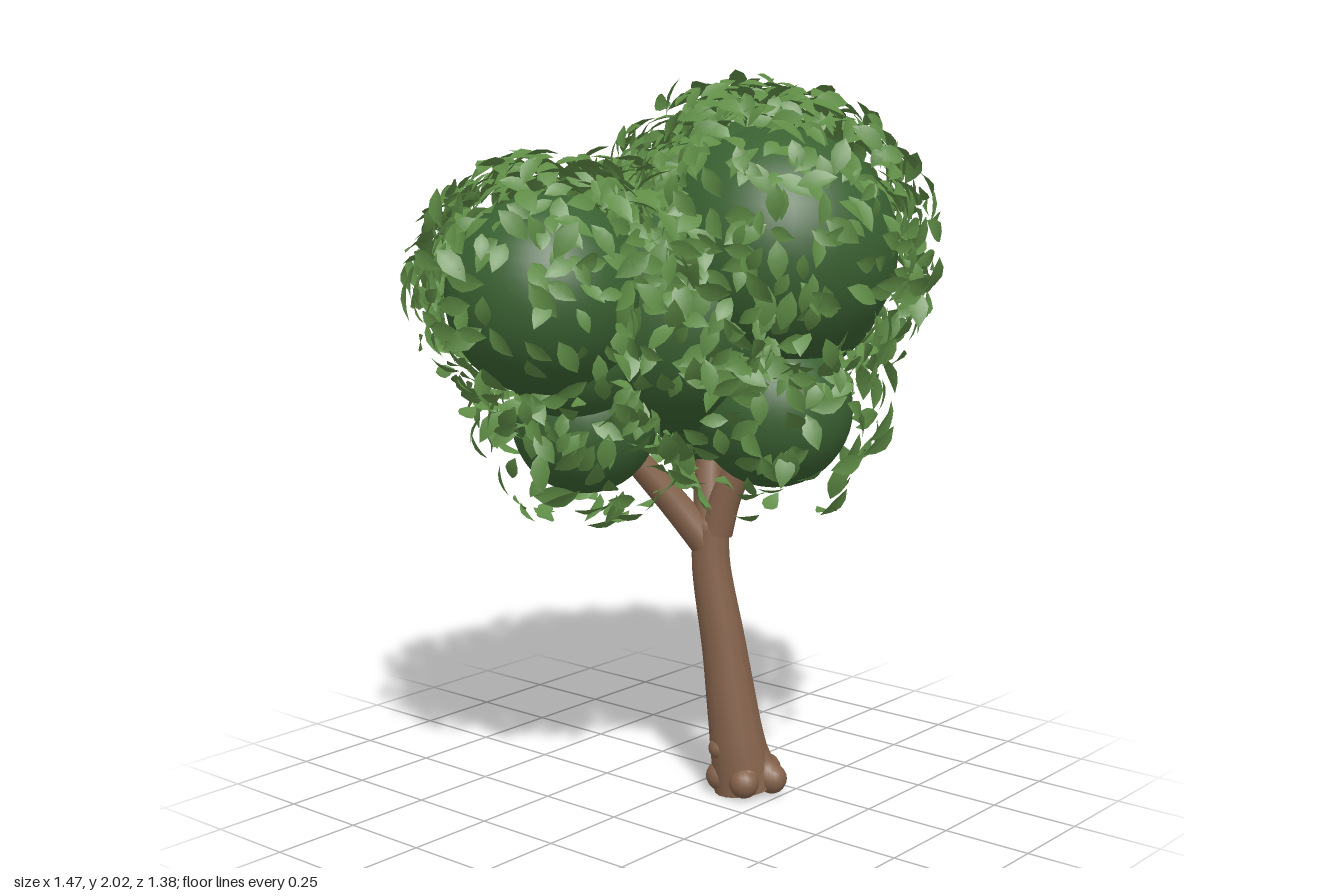
import * as THREE from 'three';
import { mergeGeometries } from 'three/addons/utils/BufferGeometryUtils.js';

const V = (x, y, z) => new THREE.Vector3(x, y, z);

// Small seeded random generator
function makeRandom(seed) {
  return () => {
    seed = (seed * 1664525 + 1013904223) % 4294967296;
    return seed / 4294967296;
  };
}

// Round limb along a curve, with a radius for each path point
function limb(points, radii, rows = 14, sides = 16) {
  const curve = new THREE.CatmullRomCurve3(points);
  const geo = new THREE.TubeGeometry(curve, rows, 1, sides, false);
  const pos = geo.attributes.position;
  const p = V(0, 0, 0);
  for (let i = 0; i <= rows; i++) {
    const t = i / rows, c = curve.getPointAt(t);
    const f = t * (radii.length - 1), k = Math.min(Math.floor(f), radii.length - 2);
    const r = THREE.MathUtils.lerp(radii[k], radii[k + 1], f - k);
    for (let j = 0; j <= sides; j++) {
      const n = i * (sides + 1) + j;
      p.fromBufferAttribute(pos, n).sub(c).multiplyScalar(r).add(c);
      pos.setXYZ(n, p.x, p.y, p.z);
    }
  }
  geo.computeVertexNormals();
  return geo;
}

// Pointed leaf, folded along its midrib and bent at the tip
function leafGeometry() {
  const rows = [[-0.5, 0], [-0.25, 0.2], [0, 0.26], [0.25, 0.17], [0.5, 0]];
  const verts = [], index = [];
  rows.forEach(([y, w]) => {
    const bend = -0.3 * y * y;
    verts.push(-w, y, bend + w * 0.2, 0, y, bend, w, y, bend + w * 0.2);
  });
  for (let i = 0; i < rows.length - 1; i++) {
    for (let j = 0; j < 2; j++) {
      const a = i * 3 + j, b = a + 1, c = a + 3, d = a + 4;
      index.push(a, b, d, a, d, c);
    }
  }
  const geo = new THREE.BufferGeometry();
  geo.setAttribute('position', new THREE.Float32BufferAttribute(verts, 3));
  geo.setIndex(index);
  geo.computeVertexNormals();
  return geo;
}

// Foliage clumps: x, y, z, radius
const CLUMPS = [
  [0.3, 1.55, -0.01, 0.325],
  [0.16, 1.54, 0.23, 0.325],
  [0.34, 1.44, 0.15, 0.26],
  [-0.35, 1.43, -0.14, 0.265],
  [0.16, 1.45, -0.34, 0.23],
  [-0.17, 1.42, -0.35, 0.23],
  [0.14, 1.11, 0.24, 0.215],
  [0.2, 1.13, 0.0, 0.21],
  [-0.16, 1.07, -0.18, 0.2],
  [-0.24, 1.28, -0.14, 0.2],
  [0.04, 1.36, 0.0, 0.33],
];

function foliageLeaves() {
  const rand = makeRandom(71);
  const base = leafGeometry();
  const leaves = [];
  const totalArea = CLUMPS.reduce((s, c) => s + c[3] * c[3], 0);
  const m = new THREE.Matrix4();
  for (const [cx, cy, cz, r] of CLUMPS) {
    const tries = Math.round(6800 * r * r / totalArea);
    for (let i = 0; i < tries; i++) {
      const ny = rand() * 2 - 1, a = rand() * Math.PI * 2, s = Math.sqrt(1 - ny * ny);
      const n = V(s * Math.cos(a), ny, s * Math.sin(a));
      const p = V(cx, cy, cz).addScaledVector(n, r + 0.015 + Math.sqrt(rand()) * 0.1);
      const size = 0.07 + rand() * 0.045;
      const keep = rand() < 0.6 + 0.4 * ny;
      // Leave out leaves buried in another clump
      const buried = CLUMPS.some(([x, y, z, q]) => p.distanceTo(V(x, y, z)) < q + 0.012);
      const tilt = V(rand() - 0.5, rand() - 0.5, rand() - 0.5).multiplyScalar(1.15);
      const aim = V(rand() - 0.5, rand() - 0.8, rand() - 0.5);
      if (!keep || buried) continue;
      const normal = n.add(tilt).normalize();
      const side = V(0, 0, 0).crossVectors(aim, normal).normalize();
      const along = V(0, 0, 0).crossVectors(normal, side);
      m.makeBasis(side, along, normal).scale(V(size, size, size)).setPosition(p);
      leaves.push(base.clone().applyMatrix4(m));
    }
  }
  return mergeGeometries(leaves);
}

export function createModel() {
  const bark = new THREE.MeshStandardMaterial({ color: 0x84624b });
  bark.name = 'bark brown';
  const deepGreen = new THREE.MeshStandardMaterial({ color: 0x3a6132 });
  deepGreen.name = 'deep foliage green';
  const leafGreen = new THREE.MeshStandardMaterial({ color: 0x5f8c46, side: THREE.DoubleSide });
  leafGreen.name = 'leaf green';

  const tree = new THREE.Group();
  tree.name = 'tree';
  const add = (name, geo, mat, parent = tree) => {
    const mesh = new THREE.Mesh(geo, mat);
    mesh.name = name;
    parent.add(mesh);
    return mesh;
  };

  // Leaning, tapered trunk with a rounded crotch
  add('trunk', limb(
    [V(0.147, 0.015, 0.147), V(0.127, 0.16, 0.13), V(0.112, 0.42, 0.095), V(0.095, 0.66, 0.06), V(0.097, 0.76, 0.058)],
    [0.09, 0.074, 0.064, 0.057, 0.05], 20, 20), bark);
  add('crotch', new THREE.SphereGeometry(0.05, 16, 12), bark).position.set(0.098, 0.755, 0.058);

  // Stubby root toes around the foot
  const roots = new THREE.Group();
  roots.name = 'roots';
  tree.add(roots);
  for (let i = 0; i < 5; i++) {
    const a = i * Math.PI * 0.4 + 0.1;
    const tip = V(0.152 + Math.cos(a) * 0.076, 0.047, 0.15 + Math.sin(a) * 0.076);
    add('root', limb([V(0.14, 0.16, 0.14), V(0.15, 0.1, 0.148).lerp(tip, 0.55), tip], [0.056, 0.05, 0.042], 8, 12), bark, roots);
    add('rootTip', new THREE.SphereGeometry(0.043, 14, 10), bark, roots).position.copy(tip);
  }
  add('rootKnob', new THREE.SphereGeometry(0.035, 14, 10), bark, roots).position.set(0.08, 0.135, 0.11);

  // Branches reaching into the crown
  const branches = new THREE.Group();
  branches.name = 'branches';
  tree.add(branches);
  [
    [V(0.09, 0.71, 0.055), V(0.03, 0.83, -0.02), V(-0.1, 1.03, -0.13)],
    [V(0.1, 0.75, 0.075), V(0.11, 0.85, 0.1), V(0.15, 1.08, 0.2)],
    [V(0.1, 0.75, 0.055), V(0.115, 0.85, 0.035), V(0.17, 1.1, 0.0)],
  ].forEach((path) => add('branch', limb(path, [0.046, 0.04, 0.032], 10, 14), bark, branches));

  // Rounded foliage clumps
  const crown = new THREE.Group();
  crown.name = 'crown';
  tree.add(crown);
  CLUMPS.forEach(([x, y, z, r]) => {
    add('foliageClump', new THREE.SphereGeometry(r, 32, 22), deepGreen, crown).position.set(x, y, z);
  });

  // Loose shell of leaves over the clumps
  add('leaves', foliageLeaves(), leafGreen, crown);
  return tree;
}
